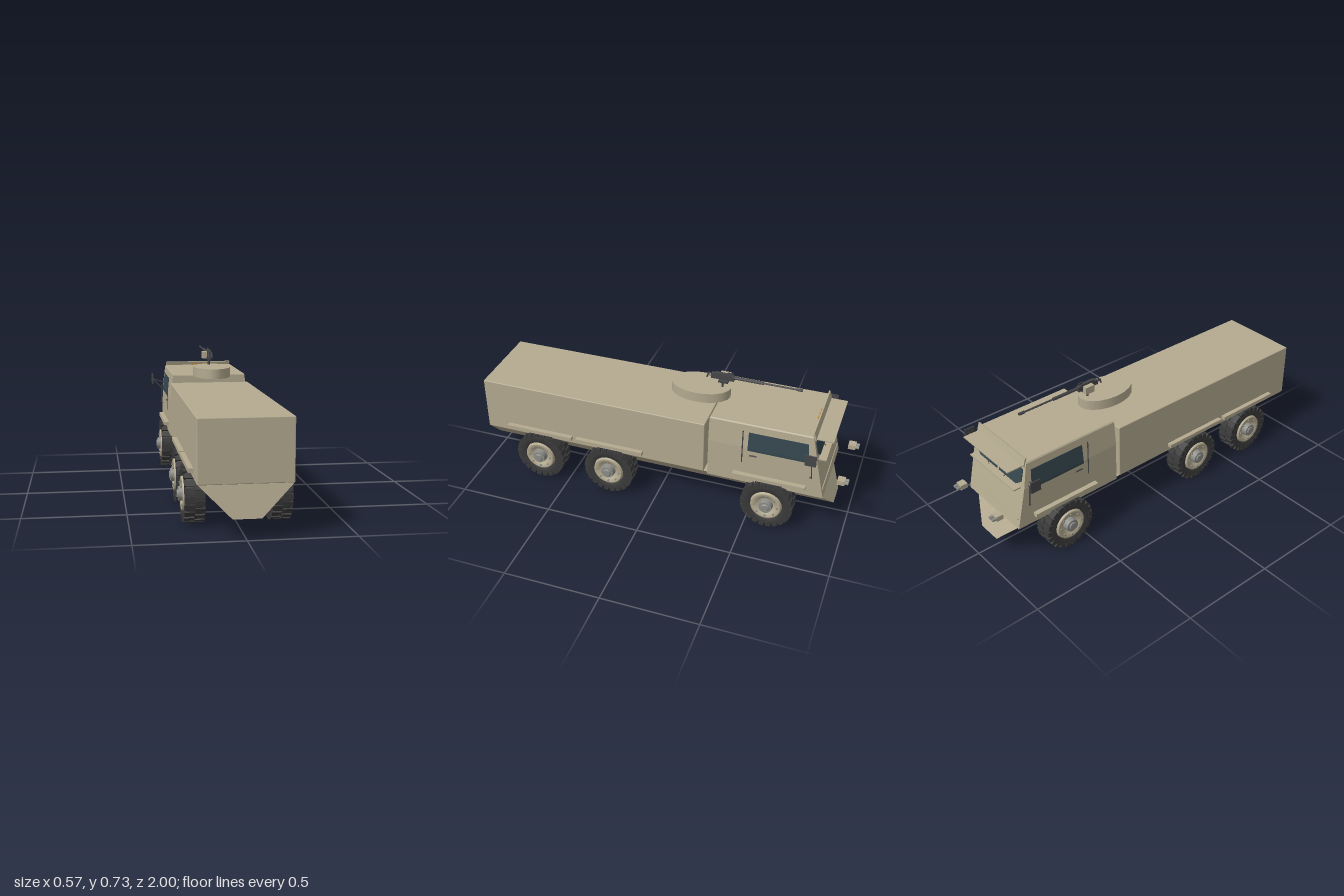
import * as THREE from 'three';
import { ConvexGeometry } from 'three/addons/geometries/ConvexGeometry.js';
import { RoundedBoxGeometry } from 'three/addons/geometries/RoundedBoxGeometry.js';

const paint = (color) => new THREE.MeshStandardMaterial({ color, side: THREE.DoubleSide });
const TAN = paint(0xb4aa90), RUBBER = paint(0x3a3a3a), GLASS = paint(0x35474f);
const METAL = paint(0x47474a), STEEL = paint(0x8c8c88), AMBER = paint(0xc98a2b);

function add(parent, name, geometry, material, x = 0, y = 0, z = 0) {
  const mesh = new THREE.Mesh(geometry, material);
  mesh.name = name;
  mesh.position.set(x, y, z);
  parent.add(mesh);
  return mesh;
}

const box = (w, h, d) => new THREE.BoxGeometry(w, h, d);

// Box given by its limits on each axis
function block(parent, name, material, x0, x1, y0, y1, z0, z1) {
  return add(parent, name, box(x1 - x0, y1 - y0, z1 - z0), material, (x0 + x1) / 2, (y0 + y1) / 2, (z0 + z1) / 2);
}

// Thin round bar between two points
function bar(parent, name, a, b, r, material = METAL) {
  const curve = new THREE.LineCurve3(new THREE.Vector3(...a), new THREE.Vector3(...b));
  return add(parent, name, new THREE.TubeGeometry(curve, 1, r, 6), material);
}

// Convex body from rectangles [halfWidth, y, zFront, zBack]
function taperedBody(parent, name, levels) {
  const points = levels.flatMap(([w, y, z0, z1]) =>
    [[-w, z0], [w, z0], [-w, z1], [w, z1]].map(([x, z]) => new THREE.Vector3(x, y, z)));
  return add(parent, name, new ConvexGeometry(points), TAN);
}

// Wheel with its axle on y, outer face towards +y
function makeWheel() {
  const wheel = new THREE.Group();
  wheel.name = 'wheel';
  const profile = [[0, -0.04], [0.085, -0.042], [0.12, -0.046], [0.129, -0.036], [0.13, 0.036],
    [0.12, 0.046], [0.085, 0.044], [0.083, 0.03]].map(([r, y]) => new THREE.Vector2(r, y));
  const tyre = new THREE.LatheGeometry(profile, 36);
  add(wheel, 'tyre', tyre, RUBBER);
  const lugs = 22;
  for (let row = 0; row < 2; row++) {
    for (let i = 0; i < lugs; i++) {
      const a = ((i + row * 0.5) / lugs) * Math.PI * 2;
      const side = row ? 1 : -1;
      const lug = add(wheel, 'treadLug', box(0.022, 0.046, 0.027), RUBBER,
        Math.cos(a) * 0.125, side * 0.0245, Math.sin(a) * 0.125);
      lug.rotation.y = -a;
    }
  }
  const rim = [[0, 0.03], [0.04, 0.03], [0.05, 0.046], [0.072, 0.052], [0.08, 0.05], [0.084, 0.03]]
    .map(([r, y]) => new THREE.Vector2(r, y));
  add(wheel, 'rim', new THREE.LatheGeometry(rim, 32), TAN);
  add(wheel, 'hub', new THREE.CylinderGeometry(0.033, 0.037, 0.03, 20), STEEL, 0, 0.05, 0);
  add(wheel, 'hubCap', new THREE.CylinderGeometry(0.018, 0.024, 0.008, 16), STEEL, 0, 0.067, 0);
  for (let i = 0; i < 8; i++) {
    const a = (i / 8) * Math.PI * 2;
    add(wheel, 'wheelBolt', new THREE.CylinderGeometry(0.005, 0.005, 0.008, 6), STEEL,
      Math.cos(a) * 0.061, 0.053, Math.sin(a) * 0.061);
  }
  return wheel;
}

function makeGun() {
  const gun = new THREE.Group();
  gun.name = 'roofGun';
  add(gun, 'pintle', new THREE.CylinderGeometry(0.006, 0.006, 0.06, 10), METAL, 0, 0.665, -0.29);
  block(gun, 'cradle', METAL, -0.014, 0.014, 0.668, 0.68, -0.32, -0.27);
  block(gun, 'receiver', METAL, -0.01, 0.01, 0.685, 0.712, -0.35, -0.23);
  block(gun, 'feedCover', METAL, -0.008, 0.008, 0.712, 0.719, -0.335, -0.25);
  block(gun, 'ammoBox', TAN, -0.036, -0.011, 0.672, 0.71, -0.325, -0.272);
  bar(gun, 'barrelJacket', [0, 0.703, -0.34], [0, 0.703, -0.5], 0.009);
  bar(gun, 'barrel', [0, 0.703, -0.5], [0, 0.703, -0.68], 0.005);
  bar(gun, 'muzzle', [0, 0.703, -0.67], [0, 0.703, -0.7], 0.008);
  block(gun, 'sight', METAL, -0.002, 0.002, 0.718, 0.728, -0.345, -0.315);
  for (const s of [-1, 1]) {
    bar(gun, 'gripArm', [s * 0.008, 0.7, -0.235], [s * 0.008, 0.7, -0.21], 0.003);
    bar(gun, 'grip', [s * 0.008, 0.685, -0.208], [s * 0.008, 0.71, -0.215], 0.004);
  }
  return gun;
}

export function createModel() {
  const model = new THREE.Group();
  model.name = 'armouredTruck';

  // Hull, cargo body and cab
  taperedBody(model, 'hull', [[0.065, 0.098, -0.928, 1.0], [0.213, 0.246, -0.845, 0.97]]);
  add(model, 'cargoBody', new RoundedBoxGeometry(0.434, 0.295, 1.235, 2, 0.005), TAN, 0, 0.3925, 0.3525);
  taperedBody(model, 'cab', [[0.215, 0.235, -0.887, -0.285], [0.215, 0.45, -0.84, -0.285],
    [0.205, 0.545, -0.819, -0.285], [0.202, 0.578, -0.811, -0.285], [0.197, 0.584, -0.805, -0.29]]);

  // Front face, laid on the slope of the cab nose
  const face = new THREE.Group();
  face.name = 'cabFront';
  face.position.set(0, 0.235, -0.887);
  face.rotation.x = 0.2166;
  model.add(face);
  for (const s of [-1, 1]) {
    const pane = new THREE.Shape([[0.008, 0.222], [0.15, 0.222], [0.188, 0.25], [0.188, 0.318], [0.008, 0.318]]
      .map(([x, y]) => new THREE.Vector2(s * x, y)));
    add(face, 'windscreen', new THREE.ExtrudeGeometry(pane, { depth: 0.004, bevelEnabled: false }), GLASS, 0, 0, -0.004);
    bar(face, 'wiper', [s * 0.06, 0.215, -0.012], [s * 0.13, 0.29, -0.008], 0.002);
    bar(face, 'wiperArm', [s * 0.03, 0.208, -0.014], [s * 0.1, 0.208, -0.014], 0.002);
  }
  block(face, 'grilleSeam', TAN, -0.2, 0.2, 0.045, 0.05, -0.004, 0);
  block(model, 'sunVisor', TAN, -0.187, 0.187, 0.562, 0.567, -0.905, -0.81);
  block(model, 'noseRail', TAN, -0.187, 0.187, 0.445, 0.452, -0.88, -0.835);
  const brow = add(model, 'roofBrow', box(0.39, 0.045, 0.008), TAN, 0, 0.582, -0.812);
  brow.rotation.x = 0.3;

  // Roof marker lamps
  for (const x of [-0.035, 0, 0.035]) block(model, 'markerLamp', AMBER, x - 0.007, x + 0.007, 0.583, 0.594, -0.81, -0.794);

  // Parts on both sides
  for (const s of [-1, 1]) {
    const side = new THREE.Group();
    side.name = s > 0 ? 'leftSide' : 'rightSide';
    model.add(side);

    // Side window follows the slight lean of the upper cab
    const glass = [[0.435, -0.49, -0.798, 0.2165], [0.45, -0.49, -0.798, 0.2165], [0.54, -0.49, -0.79, 0.207]]
      .flatMap(([y, z0, z1, x]) => [[x, z0], [x, z1], [x - 0.01, z0], [x - 0.01, z1]]
        .map(([px, z]) => new THREE.Vector3(s * px, y, z)));
    add(side, 'sideWindow', new ConvexGeometry(glass), GLASS);
    bar(side, 'doorRail', [s * 0.217, 0.36, -0.463], [s * 0.217, 0.55, -0.463], 0.003);
    bar(side, 'doorHandle', [s * 0.217, 0.408, -0.5], [s * 0.217, 0.408, -0.54], 0.004);
    bar(side, 'grabRail', [s * 0.222, 0.35, -0.822], [s * 0.222, 0.462, -0.812], 0.003);
    for (const y of [0.352, 0.46]) bar(side, 'grabRailFoot', [s * 0.205, y, -0.815], [s * 0.222, y, -0.815], 0.003);

    // Mirror on two struts
    block(side, 'mirror', METAL, s * 0.28 - 0.003, s * 0.28 + 0.003, 0.47, 0.53, -0.845, -0.79);
    for (const y of [0.478, 0.428]) bar(side, 'mirrorStrut', [s * 0.21, y, -0.805], [s * 0.28, 0.5, -0.82], 0.003);

    // Headlamp standing ahead of the nose
    block(side, 'headlamp', TAN, s * 0.155 - 0.021, s * 0.155 + 0.021, 0.308, 0.334, -0.98, -0.942);
    for (const o of [-0.011, 0.011]) {
      const lens = add(side, 'headlampLens', new THREE.CylinderGeometry(0.009, 0.009, 0.018, 12), STEEL,
        s * 0.155 + o, 0.321, -0.989);
      lens.rotation.x = Math.PI / 2;
    }

    // Wheels and the narrow guards above them
    for (const z of [0.655, 0.255, -0.61]) {
      const wheel = makeWheel();
      wheel.position.set(s * 0.203, 0.137, z);
      wheel.rotation.z = -s * Math.PI / 2;
      side.add(wheel);
      add(side, 'wheelGuard', box(0.03, 0.02, 0.375), TAN, s * 0.226, 0.284, z);
    }
  }

  // Oval roof turret and its gun
  const turret = add(model, 'turretRing', new THREE.CylinderGeometry(0.1, 0.1, 0.052, 20), TAN, 0, 0.612, -0.178);
  turret.scale.z = 1.57;
  model.add(makeGun());
  return model;
}
